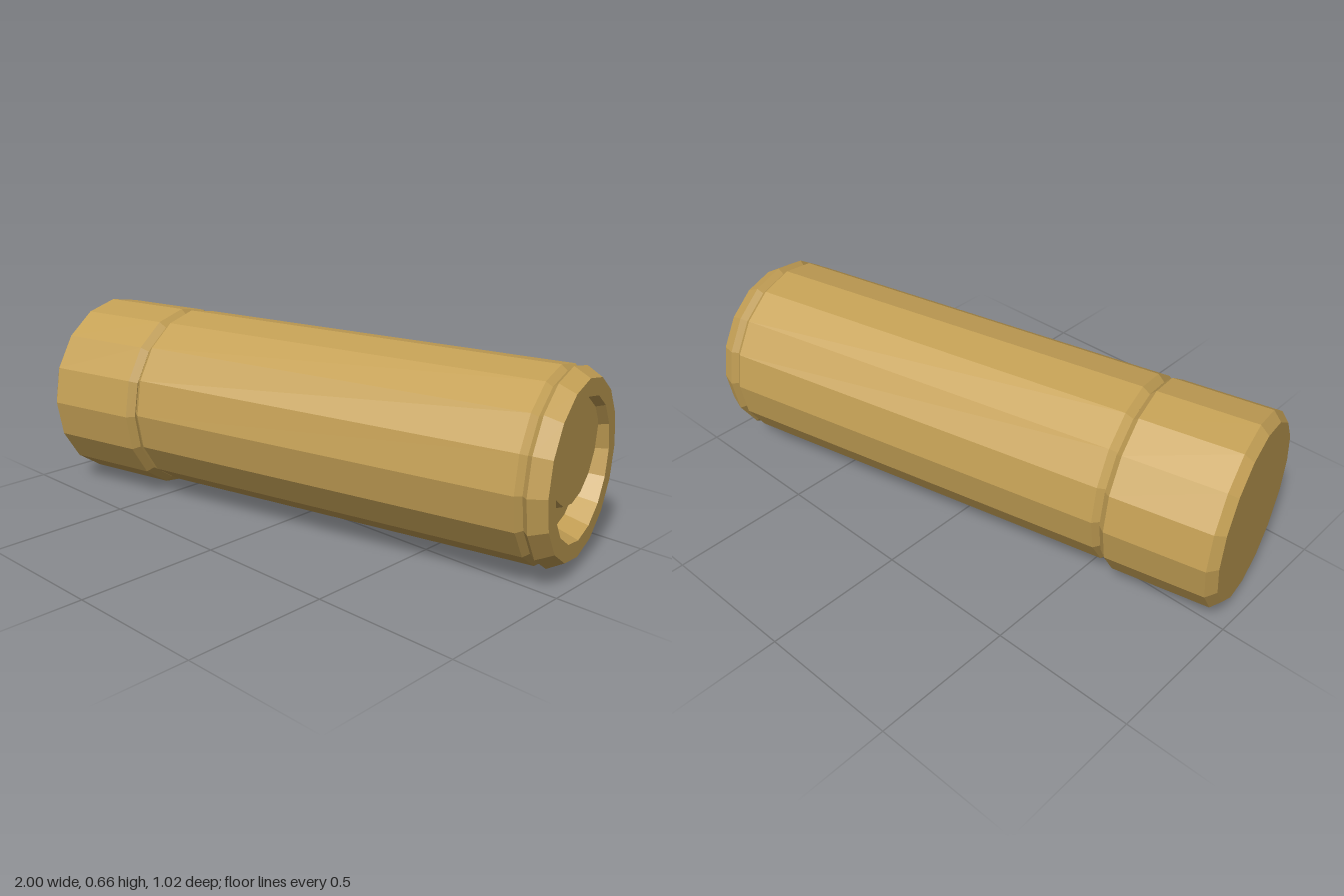
import * as THREE from 'three';

const SIDES = 16;
const material = new THREE.MeshStandardMaterial({ color: 0xc4a055, flatShading: true });

// Turned part along +x from [radius, position] pairs, back to front
function turned(name, profile, y) {
  const points = profile.map(([r, t]) => new THREE.Vector2(r, t));
  const geometry = new THREE.LatheGeometry(points, SIDES);
  geometry.rotateZ(-Math.PI / 2);
  const mesh = new THREE.Mesh(geometry, material);
  mesh.name = name;
  mesh.position.y = y;
  return mesh;
}

export function createModel() {
  const group = new THREE.Group();
  group.name = 'cylinderAssembly';

  // Slightly wider closed cap with bevelled edges
  group.add(turned('backCap', [
    [0, -0.96], [0.3, -0.96], [0.33, -0.93], [0.33, -0.593], [0.308, -0.57], [0, -0.57],
  ], 0.33));

  // Long barrel, front groove, bevelled rim and the recess in its end
  group.add(turned('barrel', [
    [0, -0.572], [0.3, -0.572], [0.32, -0.547],
    [0.32, 0.869], [0.303, 0.889], [0.32, 0.908],
    [0.29, 0.962], [0.233, 0.962], [0.205, 0.885], [0, 0.885],
  ], 0.34));

  // Raised disc sitting high in the recess
  group.add(turned('recessedPlug', [
    [0, 0.88], [0.215, 0.885], [0.197, 0.932], [0, 0.932],
  ], 0.42));

  // The whole piece lies turned on the ground
  group.rotation.y = THREE.MathUtils.degToRad(12);
  return group;
}
